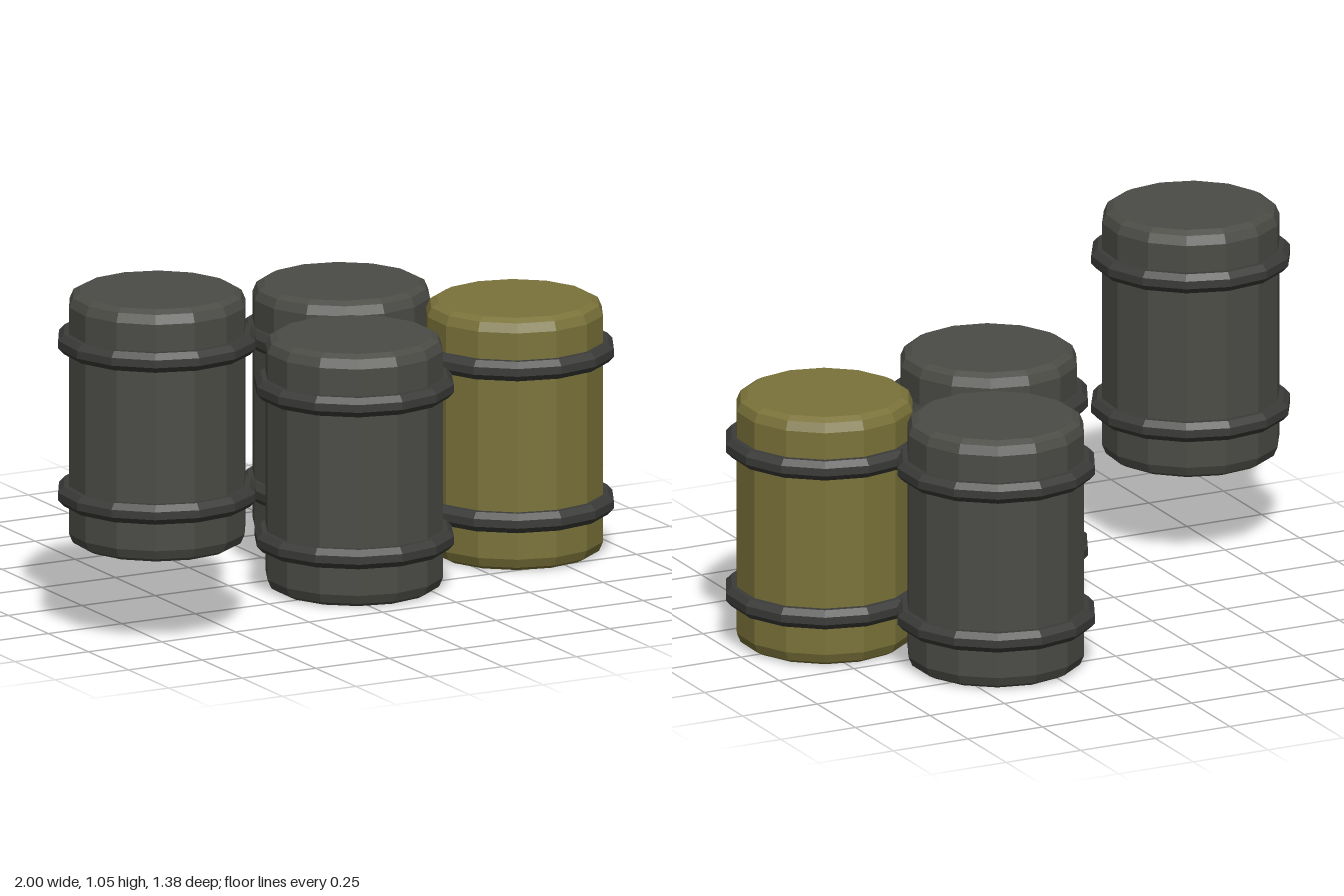
import * as THREE from 'three';

const SIDES = 14;

// Faceted solid of revolution from [radius, height] pairs, bottom to top
function facetedLathe(points) {
  const profile = points.map(([r, y]) => new THREE.Vector2(r, y));
  const geometry = new THREE.LatheGeometry(profile, SIDES).toNonIndexed();
  geometry.computeVertexNormals();
  return geometry;
}

export function createModel() {
  const material = (name, color) => {
    const m = new THREE.MeshStandardMaterial({ color });
    m.name = name;
    return m;
  };
  const grey = material('darkGrey', 0x4b4c46);
  const yellow = material('oliveYellow', 0x7b733a);
  const hoopGrey = material('hoopGrey', 0x3b3c39);

  const H = 0.777;
  // Drum with small rounded rims
  const bodyGeometry = facetedLathe([
    [0, 0], [0.235, 0], [0.257, 0.012], [0.269, 0.04],
    [0.269, H - 0.04], [0.257, H - 0.012], [0.235, H], [0, H],
  ]);
  // Bevelled hoop around the drum
  const hoopGeometry = facetedLathe([
    [0.262, -0.03], [0.285, -0.03], [0.302, -0.012],
    [0.302, 0.012], [0.285, 0.03], [0.262, 0.03],
  ]);

  const model = new THREE.Group();
  model.name = 'barrels';

  const addBarrel = (name, paint, x, y, z, turn) => {
    const barrel = new THREE.Group();
    barrel.name = name;
    const body = new THREE.Mesh(bodyGeometry, paint);
    body.name = 'body';
    barrel.add(body);
    [['lowerHoop', 0.156], ['upperHoop', 0.624]].forEach(([hoopName, hoopY]) => {
      const hoop = new THREE.Mesh(hoopGeometry, hoopGrey);
      hoop.name = hoopName;
      hoop.position.y = hoopY;
      barrel.add(hoop);
    });
    barrel.position.set(x, y, z);
    barrel.rotation.y = THREE.MathUtils.degToRad(turn);
    model.add(barrel);
  };

  addBarrel('raisedBarrel', grey, -0.702, 0.275, 0.382, -4);
  addBarrel('middleBarrel', grey, 0.073, 0, 0.19, 0);
  addBarrel('backBarrel', grey, 0.347, 0, -0.393, 0);
  addBarrel('yellowBarrel', yellow, 0.702, 0, 0.036, -1);
  return model;
}
